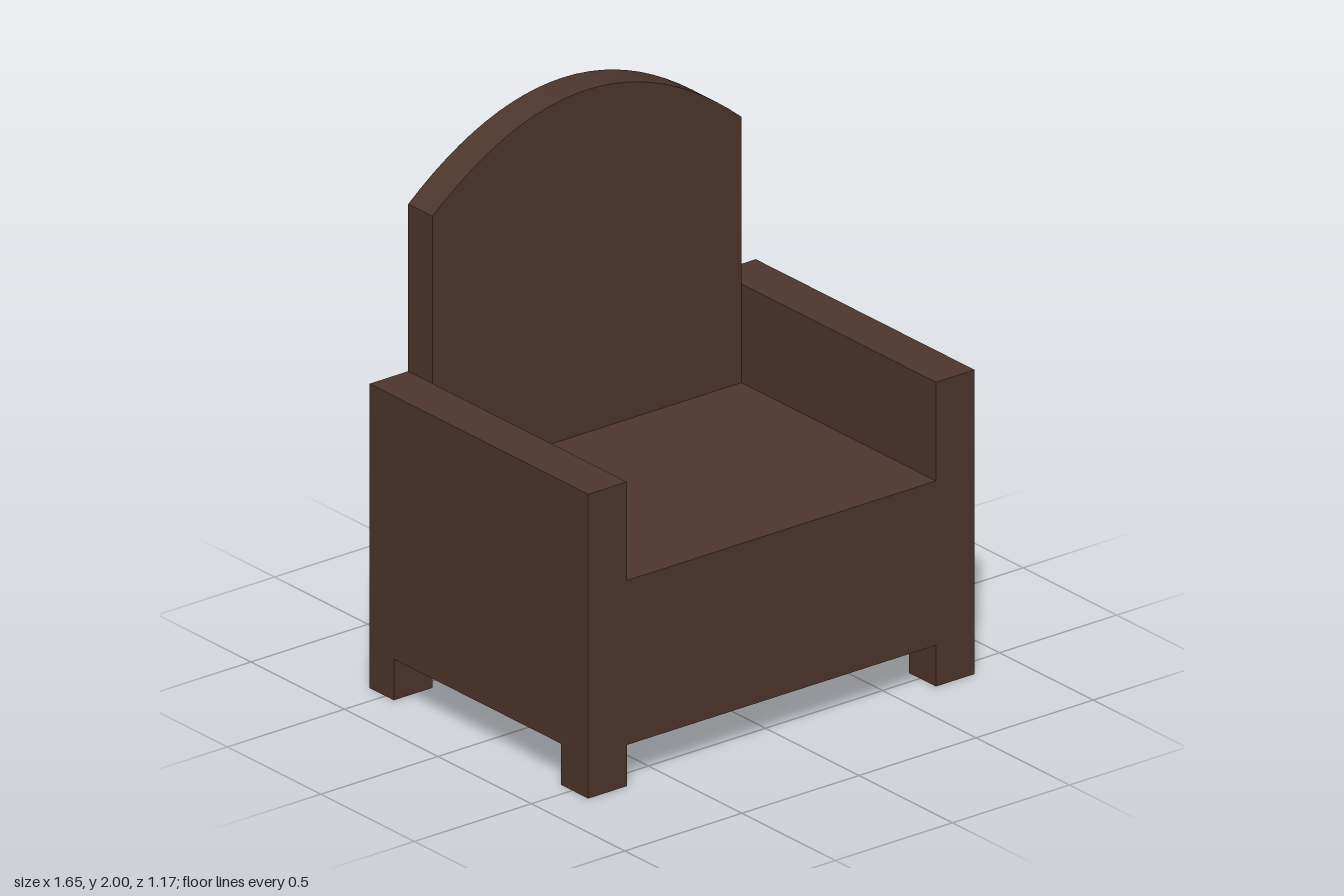
import * as THREE from 'three';

const W = 0.825, INNER = 0.66, D = 0.585;   // half width, half width of the seat, half depth
const LEG = 0.15, SEAT = 0.75, ARM = 1.11;  // heights
const BACK_Z = -0.455;                      // front face of the backrest

export function createModel() {
  const group = new THREE.Group();
  const wood = new THREE.MeshStandardMaterial({ color: 0x4e362c, flatShading: true });

  const add = (name, geometry, x = 0, y = 0, z = 0) => {
    const mesh = new THREE.Mesh(geometry, wood);
    mesh.name = name;
    mesh.position.set(x, y, z);
    group.add(mesh);
  };

  // Seat block and both armrests as one U-shaped section
  const section = new THREE.Shape([
    [-W, LEG], [W, LEG], [W, ARM], [INNER, ARM],
    [INNER, SEAT], [-INNER, SEAT], [-INNER, ARM], [-W, ARM],
  ].map(([x, y]) => new THREE.Vector2(x, y)));
  add('seatAndArms', new THREE.ExtrudeGeometry(section, { depth: 2 * D, bevelEnabled: false }), 0, 0, -D);

  // Backrest with an arched top
  const back = new THREE.Shape();
  back.moveTo(-INNER, SEAT);
  back.lineTo(INNER, SEAT);
  back.lineTo(INNER, 1.72);
  back.quadraticCurveTo(0, 2.28, -INNER, 1.72);
  back.closePath();
  add('backrest', new THREE.ExtrudeGeometry(back, {
    depth: BACK_Z + D, bevelEnabled: false, curveSegments: 24,
  }), 0, 0, -D);

  // Four square legs, the back pair slightly thinner
  const legWidth = W - INNER;
  for (const [side, sx] of [['Left', 1], ['Right', -1]]) {
    for (const [end, z0, z1] of [['front', 0.44, D], ['back', -D, BACK_Z]]) {
      add(`${end}${side}Leg`, new THREE.BoxGeometry(legWidth, LEG, z1 - z0),
        sx * (INNER + legWidth / 2), LEG / 2, (z0 + z1) / 2);
    }
  }
  return group;
}
